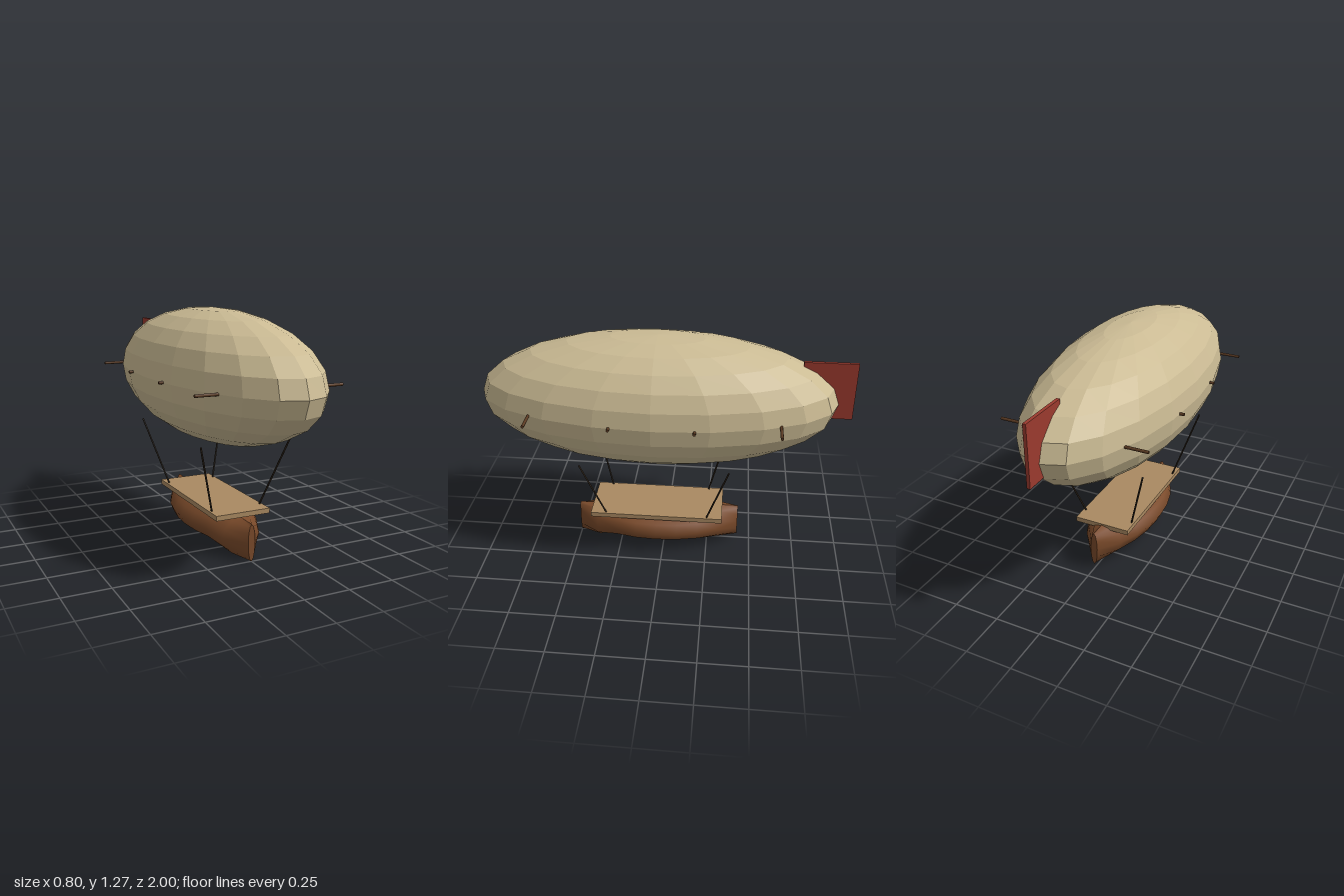
import * as THREE from 'three';

const mat = (name, color) => {
  const m = new THREE.MeshStandardMaterial({ color });
  m.name = name;
  return m;
};

export function createModel() {
  const group = new THREE.Group();
  const canvas = mat('canvas', 0xcbbb94);
  canvas.flatShading = true;
  const hullWood = mat('hull wood', 0x7a4a2a);
  const deckWood = mat('deck wood', 0xa98961);
  const sparWood = mat('spar wood', 0x5a3a22);
  const ropeMat = mat('rope', 0x2e241a);
  const red = mat('fin red', 0x9a3a2e);

  const add = (name, geometry, material, x = 0, y = 0, z = 0) => {
    const mesh = new THREE.Mesh(geometry, material);
    mesh.name = name;
    mesh.position.set(x, y, z);
    group.add(mesh);
    return mesh;
  };

  // Rod between two points
  const rod = (name, a, b, radius, material, sides) => {
    const dir = b.clone().sub(a);
    const mesh = add(name, new THREE.CylinderGeometry(radius, radius, dir.length(), sides), material);
    mesh.position.copy(a).add(b).multiplyScalar(0.5);
    mesh.quaternion.setFromUnitVectors(new THREE.Vector3(0, 1, 0), dir.normalize());
  };

  // Faceted gas envelope
  add('envelope', new THREE.SphereGeometry(1, 20, 12).scale(0.39, 0.355, 0.96), canvas, 0, 0.925, 0.037);

  // Tail fin
  add('tailFin', new THREE.BoxGeometry(0.018, 0.32, 0.28), red, 0, 1, -0.86);

  // Cross spars passing through the envelope
  for (const z of [0.677, 0.248, -0.182, -0.611]) {
    rod('spar', new THREE.Vector3(-0.4, 0.925, z), new THREE.Vector3(0.4, 0.925, z), 0.008, sparWood, 8);
  }

  // Deck
  add('deck', new THREE.BoxGeometry(0.314, 0.027, 0.745), deckWood, 0, 0.229, 0.037);

  // Suspension ropes
  for (const side of [-1, 1]) {
    for (const end of [-1, 1]) {
      rod('rope',
        new THREE.Vector3(side * 0.142, 0.243, 0.037 + end * 0.287),
        new THREE.Vector3(side * 0.257, 0.62, 0.037 + end * 0.4), 0.005, ropeMat, 6);
    }
  }

  // Hull: a tube along z, pinched to a thin stem at both ends, bow set lower
  const hull = new THREE.CylinderGeometry(1, 1, 2, 12, 8).rotateX(-Math.PI / 2);
  const p = hull.attributes.position;
  for (let i = 0; i < p.count; i++) {
    const t = p.getZ(i);
    const halfWidth = Math.max(0.02, 0.193 * Math.pow(Math.max(0, 1 - t * t), 0.7));
    const drop = t > 0.7 ? 0.03 : 0;
    p.setXYZ(i, p.getX(i) * halfWidth, 0.135 + p.getY(i) * 0.1 - drop, 0.037 + t * 0.463);
  }
  hull.computeVertexNormals();
  add('hull', hull, hullWood);

  return group;
}
